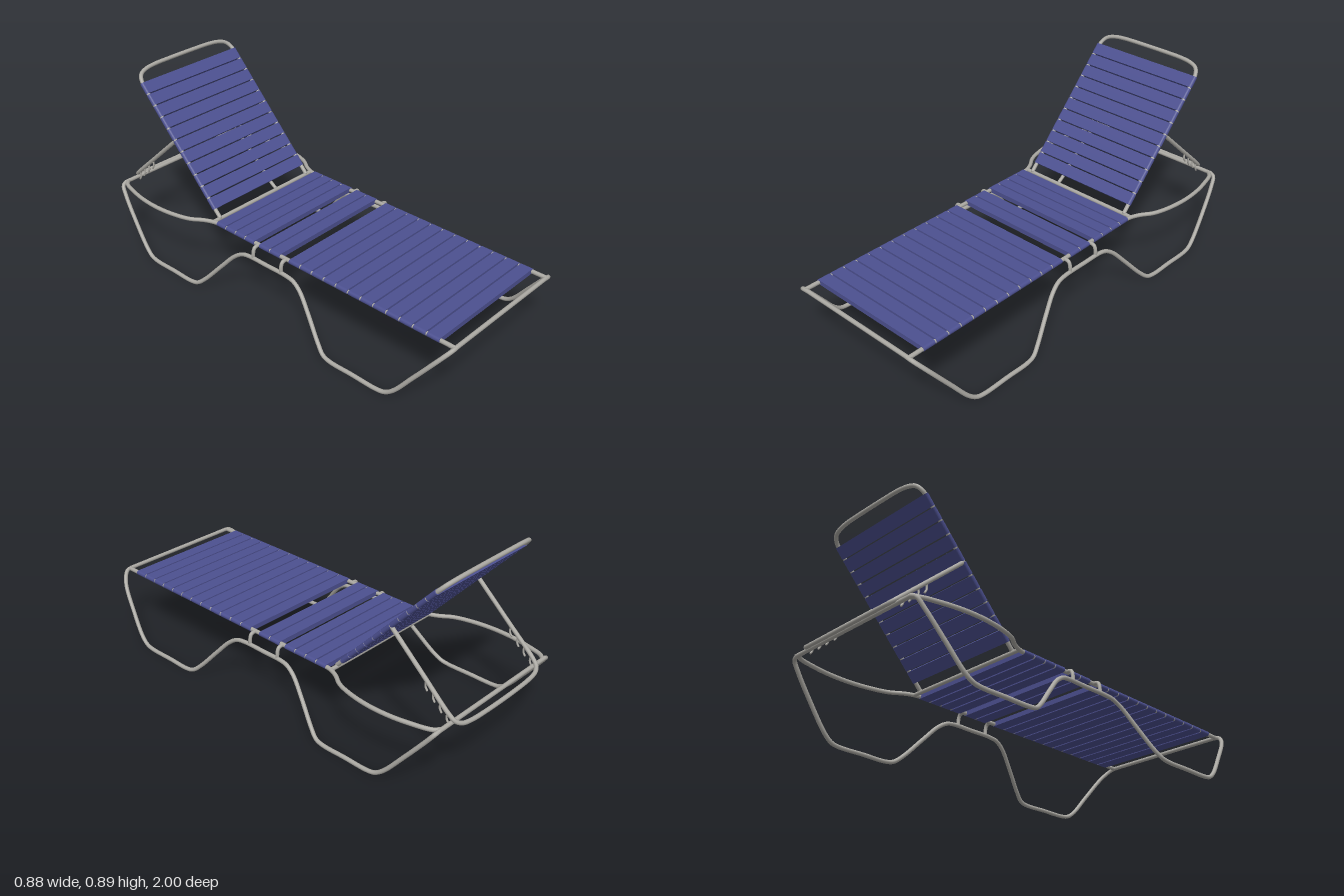
import * as THREE from 'three';

const metal = new THREE.MeshStandardMaterial({ color: 0xaaa8a2 });
metal.name = 'grey metal';
const vinyl = new THREE.MeshStandardMaterial({ color: 0x4c5090 });
vinyl.name = 'blue vinyl';

const R = 0.0095;

// Smooth bent tube through [x, y, z] points, with closed ends
function tube(name, pts, radius = R, segments = pts.length * 8) {
  const curve = new THREE.CatmullRomCurve3(pts.map(p => new THREE.Vector3(...p)));
  const group = new THREE.Group();
  group.name = name;
  group.add(new THREE.Mesh(new THREE.TubeGeometry(curve, segments, radius, 10), metal));
  for (const t of [0, 1]) {
    const cap = new THREE.Mesh(new THREE.SphereGeometry(radius, 10, 6), metal);
    cap.position.copy(curve.getPoint(t));
    group.add(cap);
  }
  return group;
}

const mirror = (pts, side) => pts.map(([x, y, z]) => [x * side, y, z]);

// U-shaped tube: half a path from the free end to the middle, then mirrored back
const loop = half => [...half, ...mirror(half, -1).reverse()];

// Strap wrapped around both rails: a flattened loop section drawn out along z
function strap(name, halfWidth, depth, z) {
  const h = 0.0112, w = halfWidth - h;
  const s = new THREE.Shape();
  s.moveTo(-w, -h);
  s.lineTo(w, -h);
  s.absarc(w, 0, h, -Math.PI / 2, Math.PI / 2, false);
  s.lineTo(-w, h);
  s.absarc(-w, 0, h, Math.PI / 2, Math.PI * 1.5, false);
  const geo = new THREE.ExtrudeGeometry(s, { depth, bevelEnabled: false, curveSegments: 6 });
  geo.translate(0, 0, -depth / 2);
  const mesh = new THREE.Mesh(geo, vinyl);
  mesh.name = name;
  mesh.position.z = z;
  return mesh;
}

export function createModel() {
  const model = new THREE.Group();
  model.name = 'sunLounger';
  const seatY = 0.304;

  // Side frames: each bent tube forms the front leg, middle rail and rear leg
  const legPath = [
    [0.3, seatY, 0.99], [0.335, 0.299, 0.988], [0.375, 0.255, 0.953], [0.407, 0.14, 0.862],
    [0.425, 0.045, 0.785], [0.43, 0.017, 0.745], [0.432, R, 0.705], [0.432, R, 0.57],
    [0.432, R, 0.45], [0.428, 0.018, 0.41], [0.415, 0.05, 0.37], [0.385, 0.145, 0.285],
    [0.365, 0.215, 0.22], [0.357, 0.243, 0.175], [0.354, 0.25, 0.13], [0.353, 0.25, 0],
    [0.354, 0.25, -0.1], [0.357, 0.243, -0.14], [0.365, 0.215, -0.185], [0.385, 0.145, -0.25],
    [0.415, 0.05, -0.335], [0.428, 0.018, -0.375], [0.432, R, -0.415], [0.432, R, -0.54],
    [0.432, R, -0.66], [0.43, 0.017, -0.7], [0.425, 0.045, -0.74], [0.411, 0.15, -0.83],
    [0.393, 0.255, -0.915], [0.38, 0.295, -0.945], [0.355, seatY, -0.95],
  ];
  // Seat rails: straight under the straps, bowing out behind the backrest
  const railPath = [
    [0.318, seatY, 0.985], [0.318, seatY, 0.3], [0.318, seatY, -0.3], [0.322, seatY, -0.355],
    [0.342, seatY, -0.405], [0.378, seatY, -0.46], [0.402, seatY, -0.54], [0.415, seatY, -0.65],
    [0.41, seatY, -0.76], [0.393, seatY, -0.85], [0.37, seatY, -0.925], [0.345, seatY, -0.95],
  ];
  for (const side of [1, -1]) {
    const label = side > 0 ? 'left' : 'right';
    model.add(tube(label + 'LegFrame', mirror(legPath, side), R, 200));
    model.add(tube(label + 'SeatRail', mirror(railPath, side), R, 120));
    // Short posts joining the rail to the leg frame
    for (const z of [0.095, -0.075]) {
      model.add(tube(label + 'Post', mirror([[0.325, seatY, z], [0.342, seatY - 0.004, z],
        [0.35, 0.285, z], [0.353, 0.25, z]], side), 0.0085));
    }
  }

  // Cross bars
  for (const [name, x, z] of [['frontBar', 0.31, 0.99], ['hingeBar', 0.32, -0.362], ['rearBar', 0.36, -0.95]]) {
    model.add(tube(name, [[-x, seatY, z], [x, seatY, z]]));
  }

  // Seat straps in three groups: front edge, back edge, count
  const seat = new THREE.Group();
  seat.name = 'seatStraps';
  seat.position.y = seatY + 0.001;
  for (const [from, to, count] of [[0.924, 0.115, 12], [0.066, -0.066, 2], [-0.093, -0.338, 4]]) {
    const pitch = (from - to) / count;
    for (let i = 0; i < count; i++) {
      seat.add(strap('seatStrap', 0.33, pitch - 0.008, from - pitch * (i + 0.5)));
    }
  }
  model.add(seat);

  // Reclined backrest, built flat along -z and tilted up at the hinge
  const back = new THREE.Group();
  back.name = 'backrest';
  back.position.set(0, 0.312, -0.362);
  back.rotation.x = 0.817;
  back.add(tube('backrestFrame', loop([
    [0.284, 0, 0], [0.284, 0, -0.35], [0.284, 0, -0.69], [0.279, 0, -0.728],
    [0.262, 0, -0.754], [0.225, 0, -0.769], [0.17, 0, -0.776], [0.08, 0, -0.778],
  ]), R, 160));
  for (let i = 0; i < 11; i++) {
    back.add(strap('backrestStrap', 0.296, 0.0555, -0.07 - i * 0.0612));
  }
  model.add(back);

  // Support stay: U-shaped prop from the backrest to the rear bar
  const stay = (x, t) => [x, 0.605 - 0.316 * t, -0.64 - 0.348 * t];
  model.add(tube('supportStay', loop([
    stay(0.284, 0), stay(0.284, 0.45), stay(0.283, 0.87), stay(0.275, 0.93),
    stay(0.25, 0.97), stay(0.2, 0.99), stay(0.1, 1),
  ]), R, 160));

  // Adjustment hooks under the stay
  for (const side of [1, -1]) {
    for (const t of [0.52, 0.63, 0.73, 0.83]) {
      const [x, y, z] = stay(0.284 * side, t);
      model.add(tube('adjustmentHook', [[x, y, z], [x, y - 0.03, z + 0.002],
        [x, y - 0.046, z - 0.006]], 0.0045));
    }
  }
  return model;
}
